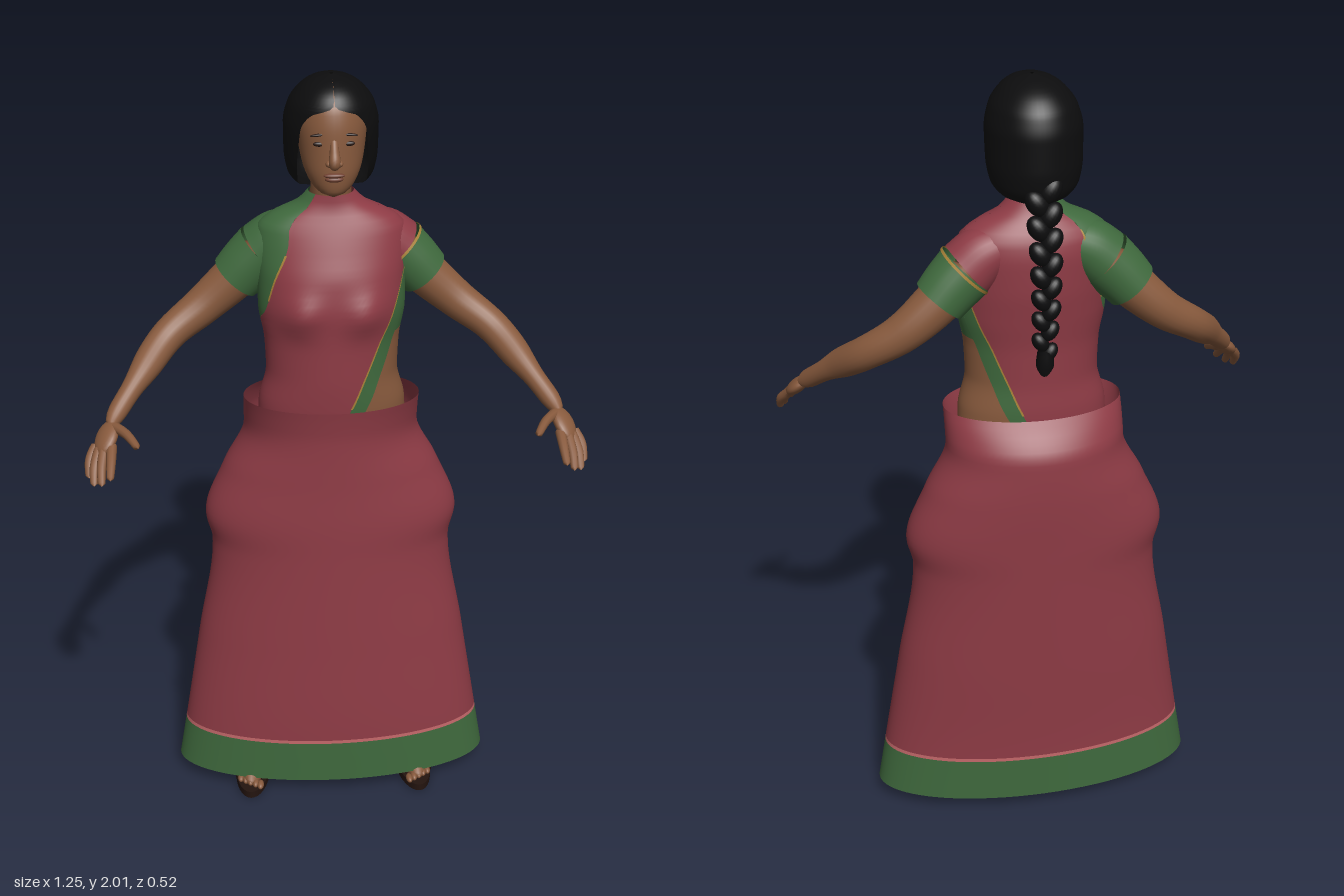
import * as THREE from 'three';
import { mergeVertices } from 'three/addons/utils/BufferGeometryUtils.js';

const mat = (name, color, side = THREE.FrontSide) => {
  const m = new THREE.MeshStandardMaterial({ color, side });
  m.name = name;
  return m;
};

// Smooth monotone interpolation through rows of [y, ...values]
function profile(rows) {
  const slope = (i, c) => (rows[i + 1][c] - rows[i][c]) / (rows[i + 1][0] - rows[i][0]);
  const tangent = (i, c) => {
    if (i === 0) return slope(0, c);
    if (i === rows.length - 1) return slope(i - 1, c);
    const a = slope(i - 1, c), b = slope(i, c);
    return a * b <= 0 ? 0 : (2 * a * b) / (a + b);
  };
  return (y) => {
    let i = 0;
    while (i < rows.length - 2 && y > rows[i + 1][0]) i++;
    const h = rows[i + 1][0] - rows[i][0];
    const t = THREE.MathUtils.clamp((y - rows[i][0]) / h, 0, 1), t2 = t * t, t3 = t2 * t;
    return rows[i].slice(1).map((v, k) => (2 * t3 - 3 * t2 + 1) * v + (t3 - 2 * t2 + t) * h * tangent(i, k + 1)
      + (3 * t2 - 2 * t3) * rows[i + 1][k + 1] + (t3 - t2) * h * tangent(i + 1, k + 1));
  };
}

// Part of an oval lofted body; section(y) = [half width, front z, back z], angle 0 is the front, +x at PI/2
function panel(section, y0, y1, from, to, { n = 32, m = 24, grow = 0, bump = null } = {}) {
  const pos = [], idx = [];
  for (let j = 0; j <= m; j++) {
    const y = y0 + ((y1 - y0) * j) / m, [w, zf, zb] = section(y), lo = from(y), hi = to(y);
    for (let i = 0; i <= n; i++) {
      const a = lo + ((hi - lo) * i) / n;
      const x = (w + grow) * Math.sin(a);
      const z = (zf + zb) / 2 + ((zf - zb) / 2 + grow) * Math.cos(a);
      pos.push(x, y, z + (bump && Math.cos(a) > 0 ? bump(x, y) * Math.cos(a) : 0));
      if (i < n && j < m) {
        const p = j * (n + 1) + i, q = p + n + 1;
        idx.push(p, p + 1, q + 1, p, q + 1, q);
      }
    }
  }
  let g = new THREE.BufferGeometry();
  g.setAttribute('position', new THREE.Float32BufferAttribute(pos, 3));
  g.setIndex(idx);
  g = mergeVertices(g, 1e-5);
  g.computeVertexNormals();
  return g;
}

// Tapered tube along a curve, with rounded closed ends unless open
function limb(points, radii, { open = false, seg = 28, sides = 16 } = {}) {
  const curve = new THREE.CatmullRomCurve3(points.map((p) => new THREE.Vector3(...p)));
  const g = new THREE.TubeGeometry(curve, seg, 1, sides), P = g.attributes.position;
  const radius = profile(radii.map((r, i) => [i / (radii.length - 1), r]));
  const v = new THREE.Vector3();
  for (let i = 0; i <= seg; i++) {
    const t = i / seg, c = curve.getPointAt(t), e = Math.max(0, Math.abs(t - 0.5) - 0.4) / 0.1;
    const r = radius(t)[0] * (open ? 1 : Math.sqrt(Math.max(0, 1 - e * e)));
    for (let j = 0; j <= sides; j++) {
      const k = i * (sides + 1) + j;
      v.fromBufferAttribute(P, k).sub(c).multiplyScalar(r).add(c);
      P.setXYZ(k, v.x, v.y, v.z);
    }
  }
  return g;
}

export function createModel() {
  const root = new THREE.Group();
  root.name = 'womanInDrapedDress';
  const two = THREE.DoubleSide;
  const red = mat('redCloth', 0x8e3b45, two), green = mat('greenCloth', 0x3f693d, two);
  const pink = mat('pinkTrim', 0xc4686a, two), gold = mat('goldTrim', 0xa98238, two);
  const skin = mat('skin', 0x885a3d, two), hair = mat('blackHair', 0x0d0d0e, two);
  const lip = mat('lips', 0x6f4030), eyeDark = mat('eyeDark', 0x2a1a14), sole = mat('sandal', 0x24140f);

  const add = (name, geometry, material, parent = root) => {
    const m = new THREE.Mesh(geometry, material);
    m.name = name;
    parent.add(m);
    return m;
  };
  const ball = (name, material, p, s, rz = 0, parent = root) => {
    const m = add(name, new THREE.SphereGeometry(1, 20, 14), material, parent);
    m.position.set(...p);
    m.scale.set(...s);
    m.rotation.z = rz;
    return m;
  };
  const k = (v) => () => v, PI = Math.PI;

  // Skirt with green hem and pink line
  const skirt = profile([
    [0.04, 0.43, 0.095, -0.24], [0.17, 0.408, 0.094, -0.24], [0.45, 0.362, 0.083, -0.248], [0.73, 0.318, 0.072, -0.255],
    [0.81, 0.334, 0.07, -0.257], [0.95, 0.283, 0.063, -0.26], [1.075, 0.226, 0.06, -0.255], [1.13, 0.226, 0.065, -0.225],
    [1.165, 0.226, 0.07, -0.192]]);
  const ring = (a, b, m) => panel(skirt, a, b, k(-PI), k(PI), { n: 72, m });
  add('skirtHem', ring(0.04, 0.163, 4), green);
  add('skirtHemLine', ring(0.163, 0.173, 1), pink);
  add('skirt', ring(0.173, 1.165, 64), red);

  // Torso wrapped in cloth panels
  const torso = profile([
    [1.1, 0.19, 0.05, -0.17], [1.16, 0.187, 0.058, -0.17], [1.25, 0.167, 0.062, -0.165], [1.33, 0.17, 0.062, -0.165],
    [1.42, 0.184, 0.064, -0.172], [1.5, 0.185, 0.055, -0.178], [1.57, 0.188, 0.03, -0.177], [1.62, 0.182, 0.01, -0.168],
    [1.65, 0.148, -0.003, -0.152], [1.68, 0.085, -0.015, -0.135], [1.71, 0.056, -0.018, -0.122]]);
  const bump = (x, y) => 0.024 * Math.exp(-(((Math.abs(x) - 0.085) / 0.05) ** 2) - ((y - 1.425) / 0.05) ** 2);
  const edge = profile([ // inner and outer angle of the green border, angle of the right blouse edge
    [1.1, 0.05, 0.25, 1.57], [1.16, 0.21, 0.44, 1.57], [1.25, 0.48, 0.77, 1.57], [1.37, 0.8, 1.12, 1.57],
    [1.42, 0.93, 1.25, 1.15], [1.5, 1.2, 1.43, 0.9], [1.6, 1.57, 1.57, 0.62], [1.71, 1.57, 1.57, 0.8]]);
  const inner = (y) => edge(y)[0], outer = (y) => edge(y)[1], blouse = (y) => edge(y)[2];
  const wrap = (name, m, y0, y1, lo, hi, o = {}) => add(name, panel(torso, y0, y1, lo, hi, { m: 36, bump, ...o }), m);
  wrap('drapeFront', red, 1.1, 1.71, (y) => -blouse(y), inner);
  wrap('drapeBack', red, 1.1, 1.71, (y) => PI - inner(y), (y) => PI + blouse(y));
  wrap('drapeBorderFront', green, 1.1, 1.6, inner, outer, { n: 6 });
  wrap('drapeBorderBack', green, 1.1, 1.6, (y) => PI - outer(y), (y) => PI - inner(y), { n: 6 });
  wrap('midriff', skin, 1.1, 1.36, outer, (y) => PI - outer(y));
  wrap('blouseLeft', green, 1.36, 1.6, outer, (y) => PI - outer(y), { n: 16 });
  wrap('blouseRight', green, 1.37, 1.71, (y) => PI + blouse(y), (y) => 2 * PI - blouse(y));
  const trim = { n: 2, grow: 0.002 };
  wrap('trimLeftFront', gold, 1.17, 1.56, (y) => inner(y) - 0.02, (y) => inner(y) + 0.01, trim);
  wrap('trimLeftBack', gold, 1.17, 1.56, (y) => PI - inner(y) - 0.01, (y) => PI - inner(y) + 0.02, trim);
  wrap('trimRightFront', gold, 1.45, 1.57, (y) => -blouse(y) - 0.01, (y) => -blouse(y) + 0.025, trim);
  wrap('trimRightBack', gold, 1.45, 1.64, (y) => PI + blouse(y) - 0.02, (y) => PI + blouse(y) + 0.01, trim);

  // Sleeves: the drape covers the left shoulder
  const cuff = [[0.168, 1.545, -0.102], [0.205, 1.508, -0.105], [0.237, 1.472, -0.108]];
  const cap = [[0.09, 1.592, -0.095], [0.13, 1.575, -0.098], cuff[0]];
  for (const [s, side] of [[1, 'left'], [-1, 'right']]) {
    const flip = (pts) => pts.map(([x, y, z]) => [s * x, y, z]);
    const open = { open: true, seg: 10, sides: 28 };
    add(side + 'Shoulder', limb(flip(cap), [0.062, 0.073, 0.075], open), s > 0 ? red : green);
    add(side + 'Sleeve', limb(flip(cuff), [0.076, 0.072, 0.067], open), green);
    if (s > 0) add('leftSleeveTrim', limb([cuff[0], [0.173, 1.54, -0.102]], [0.078, 0.078], { ...open, seg: 1 }), gold);

    // Arm, palm and fingers
    const arm = new THREE.Group();
    arm.name = side + 'Arm';
    root.add(arm);
    add(side + 'ArmLimb', limb(flip([[0.16, 1.55, -0.1], [0.24, 1.47, -0.11], [0.325, 1.395, -0.105], [0.41, 1.335, -0.07],
      [0.482, 1.265, 0.015], [0.548, 1.192, 0.1], [0.56, 1.175, 0.125]]),
    [0.058, 0.057, 0.05, 0.043, 0.039, 0.026, 0.024], { seg: 40, sides: 20 }), skin, arm);
    const palm = ball(side + 'Palm', skin, [s * 0.568, 1.157, 0.143], [0.034, 0.018, 0.05], 0, arm);
    palm.rotation.set(0.55, s * 0.25, s * -0.5, 'YXZ');
    const fingers = {
      Thumb: [[0.552, 1.178, 0.12], [0.517, 1.177, 0.168], [0.488, 1.165, 0.222]],
      IndexFinger: [[0.555, 1.15, 0.16], [0.556, 1.126, 0.215], [0.558, 1.1, 0.262]],
      MiddleFinger: [[0.572, 1.145, 0.16], [0.58, 1.11, 0.21], [0.58, 1.078, 0.248]],
      RingFinger: [[0.584, 1.14, 0.155], [0.598, 1.105, 0.195], [0.6, 1.068, 0.228]],
      LittleFinger: [[0.592, 1.14, 0.14], [0.61, 1.112, 0.168], [0.613, 1.075, 0.198]],
    };
    for (const [name, pts] of Object.entries(fingers))
      add(side + name, limb(flip(pts), [0.014, 0.012, 0.009], { seg: 14, sides: 10 }), skin, arm);

    // Leg, foot and sandal
    add(side + 'Leg', limb(flip([[0.222, 0.03, -0.085], [0.22, 0.12, -0.085], [0.2, 0.35, -0.1], [0.16, 0.65, -0.08],
      [0.12, 1.1, -0.07]]), [0.036, 0.033, 0.052, 0.062, 0.08]), skin);
    const shoe = new THREE.Group();
    shoe.name = side + 'Foot';
    shoe.position.set(s * 0.226, 0, -0.018);
    shoe.rotation.y = s * 0.08;
    root.add(shoe);
    const base = add(side + 'SandalSole', new THREE.CylinderGeometry(1, 1, 0.02, 32), sole, shoe);
    base.scale.set(0.048, 1, 0.127);
    base.position.y = 0.01;
    ball(side + 'FootTop', skin, [0, 0.03, -0.01], [0.038, 0.036, 0.112], 0, shoe);
    for (let i = 0; i < 5; i++)
      ball(side + 'Toe', skin, [s * (-0.026 + i * 0.014), 0.027, 0.102 - i * 0.008], [0.009, 0.01, 0.018], 0, shoe);
    const strap = add(side + 'SandalStrap', new THREE.TorusGeometry(0.042, 0.005, 8, 20, PI), sole, shoe);
    strap.position.set(0, 0.015, 0.045);
    strap.scale.z = 3;
  }

  // Neck and head
  add('neck', limb([[0, 1.64, -0.08], [0, 1.72, -0.072], [0, 1.82, -0.07]], [0.056, 0.05, 0.055]), skin);
  const face = profile([
    [1.722, 0.012, 0.022, -0.03], [1.732, 0.036, 0.037, -0.05], [1.755, 0.056, 0.044, -0.08], [1.79, 0.071, 0.047, -0.11],
    [1.835, 0.08, 0.046, -0.14], [1.88, 0.084, 0.044, -0.15], [1.93, 0.078, 0.034, -0.15], [1.97, 0.05, 0.0, -0.12],
    [1.985, 0.01, -0.04, -0.08]]);
  add('head', panel(face, 1.722, 1.985, k(-PI), k(PI), { n: 40, m: 30 }), skin);
  add('nose', limb([[0, 1.868, 0.034], [0, 1.84, 0.051], [0, 1.816, 0.061], [0, 1.806, 0.045]],
    [0.01, 0.011, 0.014, 0.011], { seg: 16, sides: 12 }), skin);
  ball('upperLip', lip, [0, 1.783, 0.046], [0.026, 0.006, 0.009]);
  ball('lowerLip', lip, [0, 1.773, 0.044], [0.022, 0.007, 0.01]);
  for (const s of [1, -1]) {
    ball('nostril', skin, [s * 0.012, 1.812, 0.047], [0.009, 0.008, 0.011]);
    ball('eye', eyeDark, [s * 0.035, 1.857, 0.034], [0.015, 0.006, 0.006], s * 0.05);
    ball('eyebrow', eyeDark, [s * 0.037, 1.879, 0.034], [0.02, 0.0035, 0.005], s * -0.1);
  }

  // Hair shell with a face opening
  const hairForm = profile([
    [1.715, 0.045, -0.05, -0.16], [1.73, 0.085, 0.0, -0.185], [1.76, 0.106, 0.025, -0.2], [1.81, 0.114, 0.04, -0.205],
    [1.88, 0.115, 0.052, -0.205], [1.93, 0.104, 0.053, -0.194], [1.965, 0.08, 0.038, -0.168], [1.99, 0.045, 0.0, -0.12],
    [2.0, 0.004, -0.055, -0.065]]);
  const opening = profile([[1.715, 1.3], [1.76, 0.92], [1.83, 0.82], [1.89, 0.74], [1.925, 0.55], [1.95, 0.02], [2, 0]]);
  add('hair', panel(hairForm, 1.715, 2, (y) => opening(y)[0], (y) => 2 * PI - opening(y)[0], { n: 48, m: 40 }), hair);

  // Braid of overlapping strands
  const braid = new THREE.Group();
  braid.name = 'braid';
  root.add(braid);
  const braidLine = profile([[1.3, -0.21], [1.4, -0.214], [1.5, -0.226], [1.6, -0.222], [1.7, -0.198], [1.78, -0.18]]);
  for (let i = 0; i < 15; i++) {
    const y = 1.76 - i * 0.0285, s = i % 2 ? 1 : -1, f = 1 - i * 0.022;
    ball('braidStrand', hair, [s * 0.016 * f, y, braidLine(y)[0]], [0.026 * f, 0.037 * f, 0.027 * f], s * -0.6, braid);
  }
  add('braidTail', limb([[0, 1.37, -0.214], [0, 1.335, -0.214], [0, 1.295, -0.206]], [0.018, 0.022, 0.008]), hair, braid);
  return root;
}
